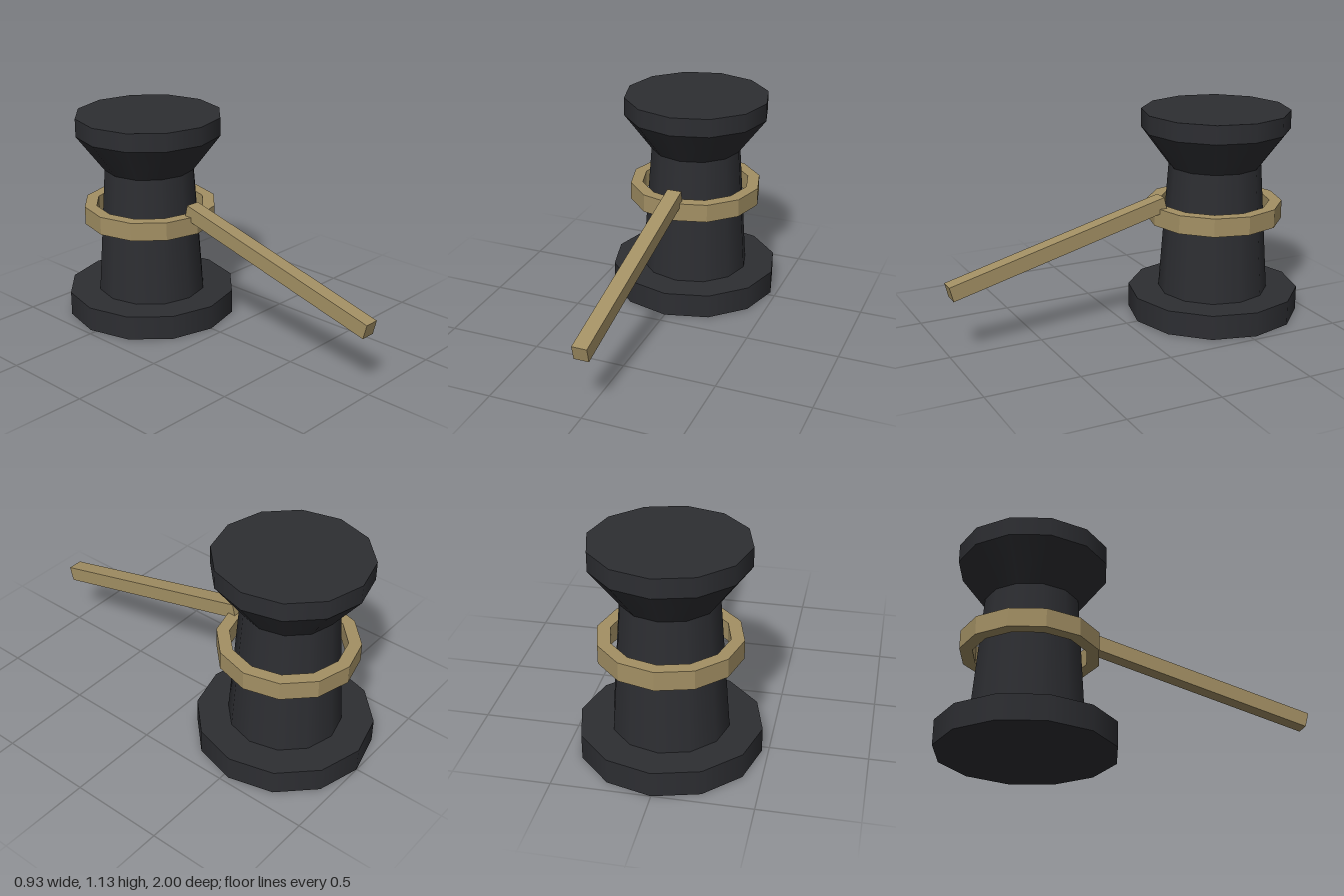
import * as THREE from 'three';

const SIDES = 12;

export function createModel() {
  const model = new THREE.Group();
  model.name = 'capstan';
  const iron = new THREE.MeshStandardMaterial({ color: 0x2d2e32 });
  const wood = new THREE.MeshStandardMaterial({ color: 0xa39064 });

  const add = (parent, name, geometry, material) => {
    const mesh = new THREE.Mesh(geometry, material);
    mesh.name = name;
    parent.add(mesh);
    return mesh;
  };

  // Upright post, stacked from the ground: name, bottom radius, top radius, y from, y to
  const post = new THREE.Group();
  post.name = 'post';
  post.position.z = -0.533;
  model.add(post);
  const sections = [
    ['base', 0.467, 0.467, 0, 0.133],
    ['shaft', 0.3, 0.25, 0.133, 0.833],
    ['flare', 0.25, 0.4, 0.833, 1.033],
    ['cap', 0.4, 0.4, 1.033, 1.133],
  ];
  for (const [name, bottom, top, y0, y1] of sections) {
    const geometry = new THREE.CylinderGeometry(top, bottom, y1 - y0, SIDES);
    add(post, name, geometry, iron).position.y = (y0 + y1) / 2;
  }

  // Loose faceted collar around the shaft
  const polygon = (radius) => Array.from({ length: SIDES }, (_, i) => {
    const a = (i / SIDES) * Math.PI * 2;
    return new THREE.Vector2(radius * Math.cos(a), radius * Math.sin(a));
  });
  const outline = new THREE.Shape(polygon(0.367));
  outline.holes.push(new THREE.Path(polygon(0.3)));
  const collar = new THREE.ExtrudeGeometry(outline, { depth: 0.1, bevelEnabled: false });
  collar.rotateX(-Math.PI / 2);
  add(post, 'collar', collar, wood).position.y = 0.533;

  // Square handle sloping down towards the front
  const handle = add(model, 'handle', new THREE.BoxGeometry(0.08, 0.08, 1.24), wood);
  handle.position.set(0, 0.503, 0.388);
  handle.rotation.x = 0.25;

  return model;
}
